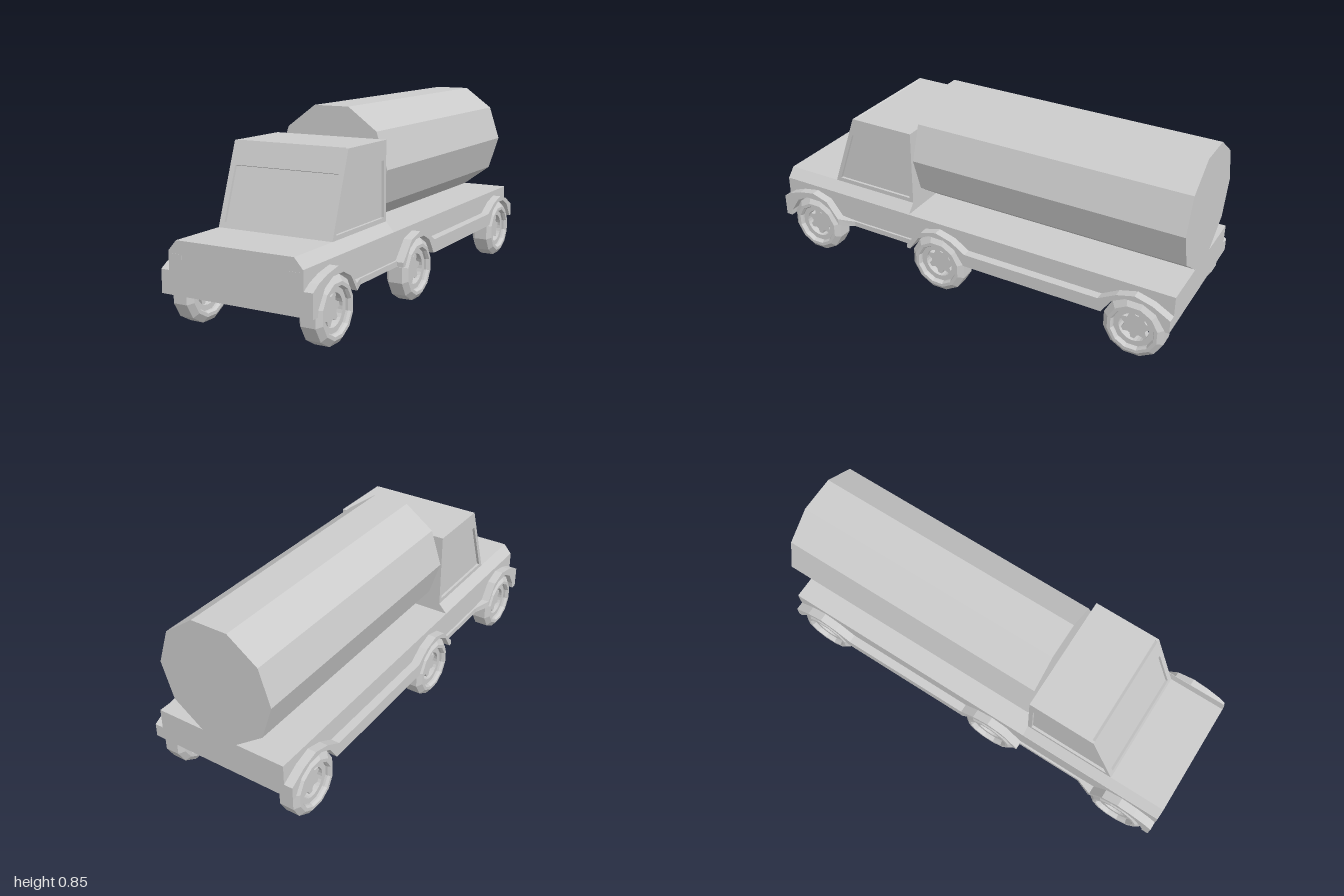
import * as THREE from 'three';

const mat = new THREE.MeshStandardMaterial({ color: 0xcccccc, flatShading: true, side: THREE.DoubleSide });
const WHEELS_Z = [0.82, 0.12, -0.84];
const AXLE_Y = 0.135, FLOOR = 0.18;

const add = (parent, name, geo) => {
  const mesh = new THREE.Mesh(geo, mat);
  mesh.name = name;
  parent.add(mesh);
  return mesh;
};
const shapeOf = (pts) => new THREE.Shape(pts.map(([a, b]) => new THREE.Vector2(a, b)));
const extrude = (shape, depth) => new THREE.ExtrudeGeometry(shape, { depth, bevelEnabled: false });

// Side profile given as (z, y), extruded across x from x0 to x1
const sideSlab = (shape, x0, x1) => extrude(shape, x1 - x0).rotateY(-Math.PI / 2).translate(x1, 0, 0);

const box = (x0, x1, y0, y1, z0, z1) => new THREE.BoxGeometry(x1 - x0, y1 - y0, z1 - z0)
  .translate((x0 + x1) / 2, (y0 + y1) / 2, (z0 + z1) / 2);

// Faceted wheel opening, listed from back to front
const arch = (z) => [163, 130, 105, 75, 50, 17].map((d) => {
  const a = d * Math.PI / 180;
  return [z + 0.15 * Math.cos(a), AXLE_Y + 0.15 * Math.sin(a)];
});

function makeWheel() {
  const wheel = new THREE.Group();
  // Tyre: chamfered ring with a flat facet on the ground
  const ring = (pts) => new THREE.LatheGeometry(pts.map(([r, y]) => new THREE.Vector2(r, y)), 12, Math.PI / 12)
    .rotateZ(-Math.PI / 2);
  add(wheel, 'tyre', ring([[0.1, -0.052], [0.115, -0.052], [0.14, -0.033], [0.14, 0.033],
    [0.115, 0.052], [0.1, 0.052], [0.094, 0.04], [0.094, -0.04], [0.1, -0.052]]));
  // Rim with a star-shaped centre and open gaps
  const rim = new THREE.Shape().absarc(0, 0, 0.097, 0, Math.PI * 2);
  rim.holes.push(new THREE.Path().absarc(0, 0, 0.068, 0, Math.PI * 2, true));
  const star = [];
  for (let i = 0; i < 28; i++) {
    const a = i * Math.PI / 14;
    const r = i % 4 < 2 ? 0.07 : 0.05;
    star.push([r * Math.cos(a), r * Math.sin(a)]);
  }
  const plate = (s) => new THREE.ExtrudeGeometry(s, { depth: 0.03, bevelEnabled: false, curveSegments: 14 })
    .rotateY(Math.PI / 2).translate(-0.015, 0, 0);
  add(wheel, 'rim', plate(rim).translate(0.015, 0, 0));
  add(wheel, 'rimInner', plate(rim).translate(-0.015, 0, 0));
  add(wheel, 'hubStar', plate(shapeOf(star)));
  return wheel;
}

function makeCab() {
  const cab = new THREE.Group();
  const y0 = 0.37, y1 = 0.725, zb = 0.29, zf = 0.732, zt = 0.605, w = 0.275, d = 0.012;
  const slope = Math.atan2(zf - zt, y1 - y0), inset = d / Math.cos(slope);
  // Solid core behind the window frames
  add(cab, 'cabCore', sideSlab(shapeOf([[zb, y0], [zf - inset, y0], [zt - inset, y1], [zb, y1]]), -w + d, w - d));
  // Side panels with window openings, and their glass set back
  for (const s of [1, -1]) {
    const panel = shapeOf([[zb, y0], [zf, y0], [zt, y1], [zb, y1]]);
    panel.holes.push(new THREE.Path([[0.31, 0.395], [0.31, 0.64], [0.615, 0.64], [0.702, 0.395]]
      .map(([a, b]) => new THREE.Vector2(a, b))));
    add(cab, s > 0 ? 'leftDoorFrame' : 'rightDoorFrame',
      s > 0 ? sideSlab(panel, w - d, w) : sideSlab(panel, -w, -w + d));
  }
  // Windscreen frame, tilted back
  const len = Math.hypot(zf - zt, y1 - y0), e = w - d;
  const front = shapeOf([[-e, 0], [e, 0], [e, len], [-e, len]]);
  front.holes.push(new THREE.Path([[-0.25, 0.03], [-0.25, 0.272], [0.25, 0.272], [0.25, 0.03]]
    .map(([a, b]) => new THREE.Vector2(a, b))));
  add(cab, 'windscreenFrame', extrude(front, d).translate(0, 0, -d).rotateX(-slope).translate(0, y0, zf));
  return cab;
}

export function createModel() {
  const truck = new THREE.Group();
  truck.name = 'tankTruck';

  // Chassis: solid middle, and sides with wheel openings
  add(truck, 'chassis', box(-0.22, 0.22, FLOOR, 0.332, -1, 1));
  const opening = [...WHEELS_Z].reverse().flatMap(arch);
  const side = shapeOf([[-1, FLOOR], ...opening, [1, FLOOR], [1, 0.332], [-1, 0.332]]);
  add(truck, 'leftBodySide', sideSlab(side, 0.22, 0.315));
  add(truck, 'rightBodySide', sideSlab(side, -0.315, -0.22));

  // Bonnet with chamfered shoulders, running under the cab
  add(truck, 'bonnet', extrude(shapeOf([[-0.315, 0.33], [0.315, 0.33], [0.275, 0.375], [-0.275, 0.375]]), 0.71)
    .translate(0, 0, 0.29));
  add(truck, 'frontBumper', box(-0.355, 0.355, 0.15, 0.25, 0.968, 1));
  add(truck, 'rearBumper', box(-0.355, 0.355, FLOOR, 0.24, -1, -0.985));

  // Wheel flares and running boards
  const frontFlare = shapeOf([[0.6, FLOOR], ...arch(WHEELS_Z[0]), [0.968, 0.15], [1, 0.15], [1, 0.25],
    [0.96, 0.275], [0.9, 0.297], [0.82, 0.312], [0.74, 0.287], [0.68, 0.21], [0.6, 0.205]]);
  const rearFlare = shapeOf([[-1, FLOOR], ...arch(WHEELS_Z[2]), ...arch(WHEELS_Z[1]), [0.28, FLOOR], [0.28, 0.2],
    [0.2, 0.285], [0.12, 0.307], [0.04, 0.285], [-0.03, 0.24], [-0.68, 0.24], [-0.76, 0.285],
    [-0.84, 0.307], [-0.92, 0.285], [-1, 0.24]]);
  for (const s of [1, -1]) {
    const label = s > 0 ? 'left' : 'right';
    const span = (a, b) => (s > 0 ? [a, b] : [-b, -a]);
    const front = sideSlab(frontFlare, ...span(0.31, 0.355));
    // Taper the rear tip of the front flare into the running board
    const p = front.attributes.position;
    for (let i = 0; i < p.count; i++) {
      if (p.getZ(i) < 0.65 && Math.abs(p.getX(i)) > 0.33) p.setX(i, s * 0.325);
    }
    add(truck, label + 'FrontFlare', front);
    add(truck, label + 'RearFlare', sideSlab(rearFlare, ...span(0.31, 0.355)));
    add(truck, label + 'RunningBoard', box(...span(0.31, 0.325), FLOOR, 0.205, 0.28, 0.6));
    add(truck, label + 'Headlight', box(...span(0.248, 0.3), 0.26, 0.32, 0.98, 1.001));

    // Wheels
    WHEELS_Z.forEach((z, i) => {
      const wheel = makeWheel();
      wheel.name = label + ['Front', 'Middle', 'Rear'][i] + 'Wheel';
      wheel.position.set(s * 0.3025, AXLE_Y, z);
      truck.add(wheel);
    });
  }

  const cab = makeCab();
  cab.name = 'cab';
  truck.add(cab);

  // Ten-sided tank resting on the bed
  add(truck, 'tank', new THREE.CylinderGeometry(0.275, 0.275, 1.28, 10, 1, false, Math.PI / 2)
    .rotateX(Math.PI / 2).translate(0, 0.593, -0.36));

  return truck;
}
